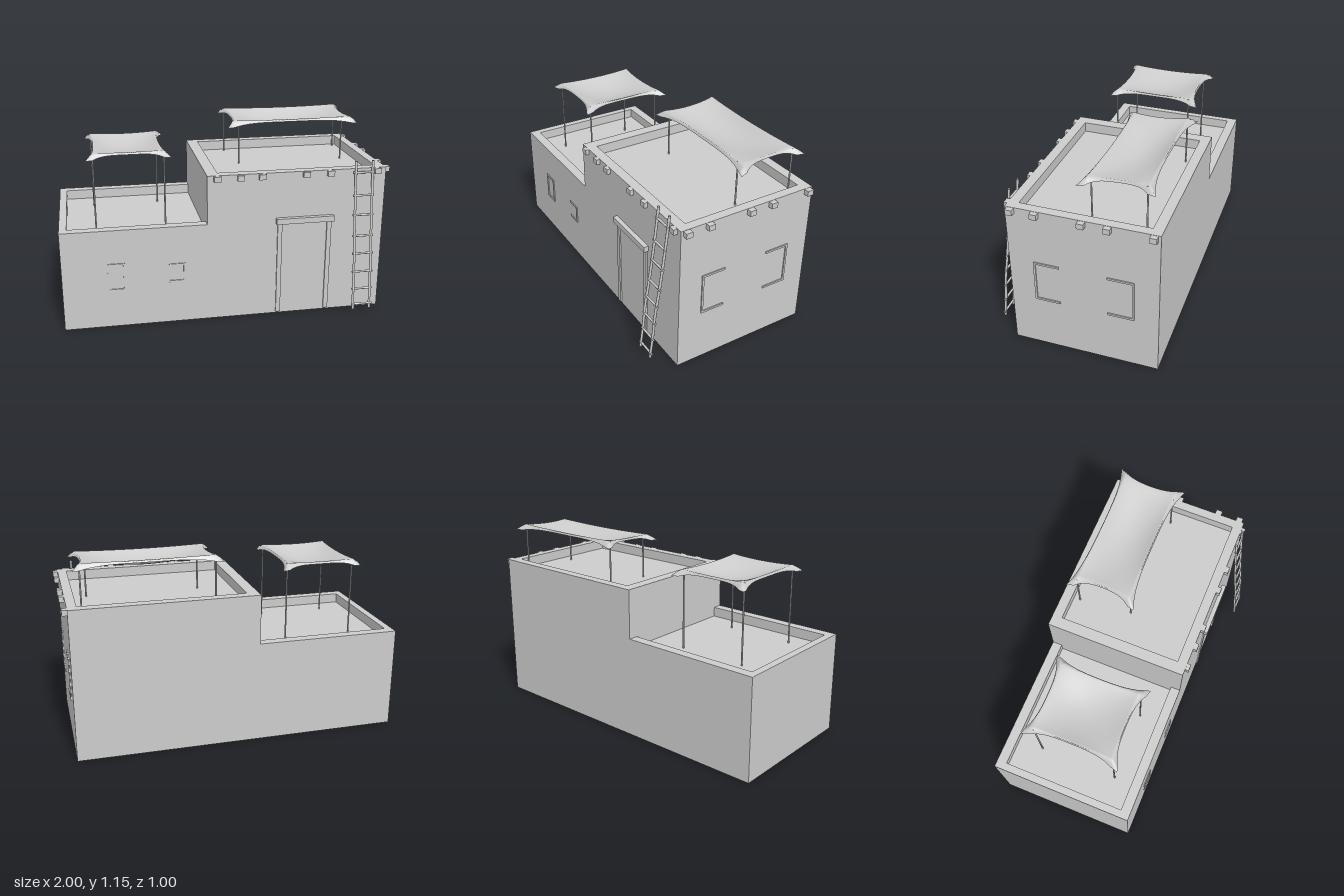
import * as THREE from 'three';

const mat = new THREE.MeshStandardMaterial({ color: 0xcccccc });
const thin = new THREE.MeshStandardMaterial({ color: 0xcccccc, side: THREE.DoubleSide });

function add(parent, name, geo, material = mat) {
  const mesh = new THREE.Mesh(geo, material);
  mesh.name = name;
  parent.add(mesh);
  return mesh;
}

// Box given by its limits
function box(parent, name, x0, x1, y0, y1, z0, z1) {
  const geo = new THREE.BoxGeometry(x1 - x0, y1 - y0, z1 - z0);
  geo.translate((x0 + x1) / 2, (y0 + y1) / 2, (z0 + z1) / 2);
  return add(parent, name, geo);
}

// Strip of flat quads between two [x, z] polylines at heights ya and yb
function band(parent, name, a, ya, b, yb) {
  const pos = [];
  for (let i = 0; i < a.length - 1; i++) {
    const p = [a[i][0], ya, a[i][1]], q = [a[i + 1][0], ya, a[i + 1][1]];
    const r = [b[i + 1][0], yb, b[i + 1][1]], s = [b[i][0], yb, b[i][1]];
    pos.push(...p, ...q, ...r, ...p, ...r, ...s);
  }
  const geo = new THREE.BufferGeometry();
  geo.setAttribute('position', new THREE.Float32BufferAttribute(pos, 3));
  geo.computeVertexNormals();
  return add(parent, name, geo, thin);
}

// Round bar between two points
function rod(parent, name, a, b, radius, sides = 8) {
  const p = new THREE.Vector3(...a), q = new THREE.Vector3(...b);
  const mesh = add(parent, name, new THREE.CylinderGeometry(radius, radius, p.distanceTo(q), sides));
  mesh.position.copy(p).lerp(q, 0.5);
  mesh.quaternion.setFromUnitVectors(new THREE.Vector3(0, 1, 0), q.sub(p).normalize());
}

// Outer walls, parapet and sunken roof of one block, open underneath
function block(parent, name, outer, inner, top) {
  const floor = top - 0.06, n = inner.length;
  band(parent, name + 'Walls', outer, 0, outer, top);
  band(parent, name + 'ParapetTop', outer, top, inner, top);
  band(parent, name + 'ParapetInside', inner, top, inner, floor);
  band(parent, name + 'Roof', [inner[0], inner[1]], floor, [inner[3], inner[2]], floor);
  return n;
}

// Sagging cloth on four poles, with drooping corner flaps
function awning(parent, { name, cx, cz, hx, hz, y, sag, tilt, floor, poles }) {
  const g = new THREE.Group();
  g.name = name;
  parent.add(g);
  const geo = new THREE.PlaneGeometry(2, 2, 36, 36).rotateX(-Math.PI / 2);
  const pos = geo.attributes.position, k = 0.89;
  for (let i = 0; i < pos.count; i++) {
    const u = pos.getX(i), v = pos.getZ(i);
    const a = Math.min(Math.abs(u) / k, 1), b = Math.min(Math.abs(v) / k, 1);
    const lu = Math.max(0, (Math.abs(u) - k) / (1 - k)), lv = Math.max(0, (Math.abs(v) - k) / (1 - k));
    const x = Math.sign(u) * (hx * a * (1 - 0.05 * (1 - b * b)) + 0.045 * lu * (0.15 + 0.85 * v ** 4));
    const z = Math.sign(v) * (hz * b * (1 - 0.05 * (1 - a * a)) + 0.045 * lv * (0.15 + 0.85 * u ** 4));
    const dish = sag * (1 - a * a) * (1 - b * b) + 0.006 * (2 - a * a - b * b);
    const droop = Math.max(lu, lv) ** 1.5 * (0.014 + 0.022 * (a * b) ** 4);
    pos.setXYZ(i, cx + x, y - dish - droop - tilt * z, cz + z);
  }
  geo.computeVertexNormals();
  add(g, 'cloth', geo, thin);
  for (const [x, z] of poles) rod(g, 'pole', [x, floor, z], [x, y - 0.004 - tilt * (z - cz), z], 0.005);
}

// Raised window frame bars on a wall: lintel, sill and the listed jambs
function windowFrame(parent, toBox, s0, s1, y0, y1, jambs) {
  const g = new THREE.Group(), t = 0.012;
  g.name = 'windowFrame';
  parent.add(g);
  toBox(g, 'lintel', s0, s1, y1 - t, y1);
  toBox(g, 'sill', s0, s1, y0, y0 + t);
  for (const s of jambs) toBox(g, 'jamb', s - t / 2, s + t / 2, y0, y1);
}

export function createModel() {
  const model = new THREE.Group();
  model.name = 'flatRoofHouse';

  // High and low blocks
  const high = [[-0.13, 0.37], [0.97, 0.37], [0.97, -0.5], [-0.13, -0.5]];
  const highIn = [[-0.06, 0.31], [0.915, 0.31], [0.915, -0.44], [-0.06, -0.44]];
  const low = [[-0.13, -0.5], [-1, -0.5], [-1, 0.37], [-0.13, 0.37]];
  const lowIn = [[-0.13, -0.44], [-0.955, -0.44], [-0.955, 0.31], [-0.13, 0.31]];
  block(model, 'high', high, highIn, 0.92);
  block(model, 'low', low, lowIn, 0.62);
  // Close the high block's ring on the side above the low roof
  const side = [high[3], high[0]], sideIn = [highIn[3], highIn[0]];
  band(model, 'stepWall', side, 0.56, side, 0.92);
  band(model, 'stepParapetTop', side, 0.92, sideIn, 0.92);
  band(model, 'stepParapetInside', sideIn, 0.92, sideIn, 0.86);

  // Roof beam ends
  for (const x of [-0.07, 0.07, 0.2, 0.47, 0.62, 0.915])
    box(model, 'frontBeam', x - 0.021, x + 0.021, 0.885, 0.918, 0.36, 0.392);
  for (const z of [0.335, 0.195, -0.07, -0.215, -0.465])
    box(model, 'sideBeam', 0.96, 1, 0.885, 0.918, z - 0.02, z + 0.02);

  // Door frame
  box(model, 'doorLintel', 0.29, 0.65, 0.6, 0.635, 0.36, 0.398);
  for (const x of [0.315, 0.625]) box(model, 'doorJamb', x - 0.014, x + 0.014, 0.01, 0.6, 0.362, 0.379);

  // Window frames
  const onFront = (g, n, a, b, y0, y1) => box(g, n, a, b, y0, y1, 0.364, 0.376);
  const onSide = (g, n, a, b, y0, y1) => box(g, n, 0.964, 0.977, y0, y1, a, b);
  windowFrame(model, onFront, -0.73, -0.625, 0.235, 0.41, [-0.724, -0.631]);
  windowFrame(model, onFront, -0.363, -0.264, 0.265, 0.385, [-0.27]);
  windowFrame(model, onSide, 0.075, 0.225, 0.325, 0.583, [0.219]);
  windowFrame(model, onSide, -0.36, -0.205, 0.325, 0.583, [-0.354]);

  // Leaning ladder with slightly crooked rails
  const ladder = new THREE.Group();
  ladder.name = 'ladder';
  model.add(ladder);
  const path = [[0.045, 0.492], [0.2, 0.474], [0.35, 0.46], [0.5, 0.437], [0.75, 0.406], [0.97, 0.382]];
  const zAt = (y) => {
    const i = Math.max(1, path.findIndex((p) => p[0] >= y));
    const [p, q] = [path[i - 1], path[i]];
    return p[1] + (q[1] - p[1]) * (y - p[0]) / (q[0] - p[0]);
  };
  for (const x of [0.77, 0.876]) {
    const curve = new THREE.CatmullRomCurve3(path.map(([y, z]) => new THREE.Vector3(x + (y - 0.5) * 0.006, y, z)));
    add(ladder, 'rail', new THREE.TubeGeometry(curve, 20, 0.008, 8), thin);
  }
  for (const y of [0.075, 0.175, 0.285, 0.4, 0.51, 0.64, 0.76, 0.9])
    rod(ladder, 'rung', [0.758, y, zAt(y)], [0.888, y, zAt(y)], 0.007);

  // Awnings
  awning(model, {
    name: 'lowAwning', cx: -0.57, cz: -0.055, hx: 0.21, hz: 0.25, y: 1.043, sag: 0.045, tilt: 0, floor: 0.56,
    poles: [[-0.78, 0.195], [-0.36, 0.195], [-0.78, -0.285], [-0.36, -0.285]],
  });
  awning(model, {
    name: 'highAwning', cx: 0.5, cz: -0.24, hx: 0.385, hz: 0.168, y: 1.147, sag: 0.05, tilt: 0.04, floor: 0.86,
    poles: [[0.15, -0.075], [0.83, -0.075], [0.115, -0.4], [0.885, -0.4]],
  });
  return model;
}
